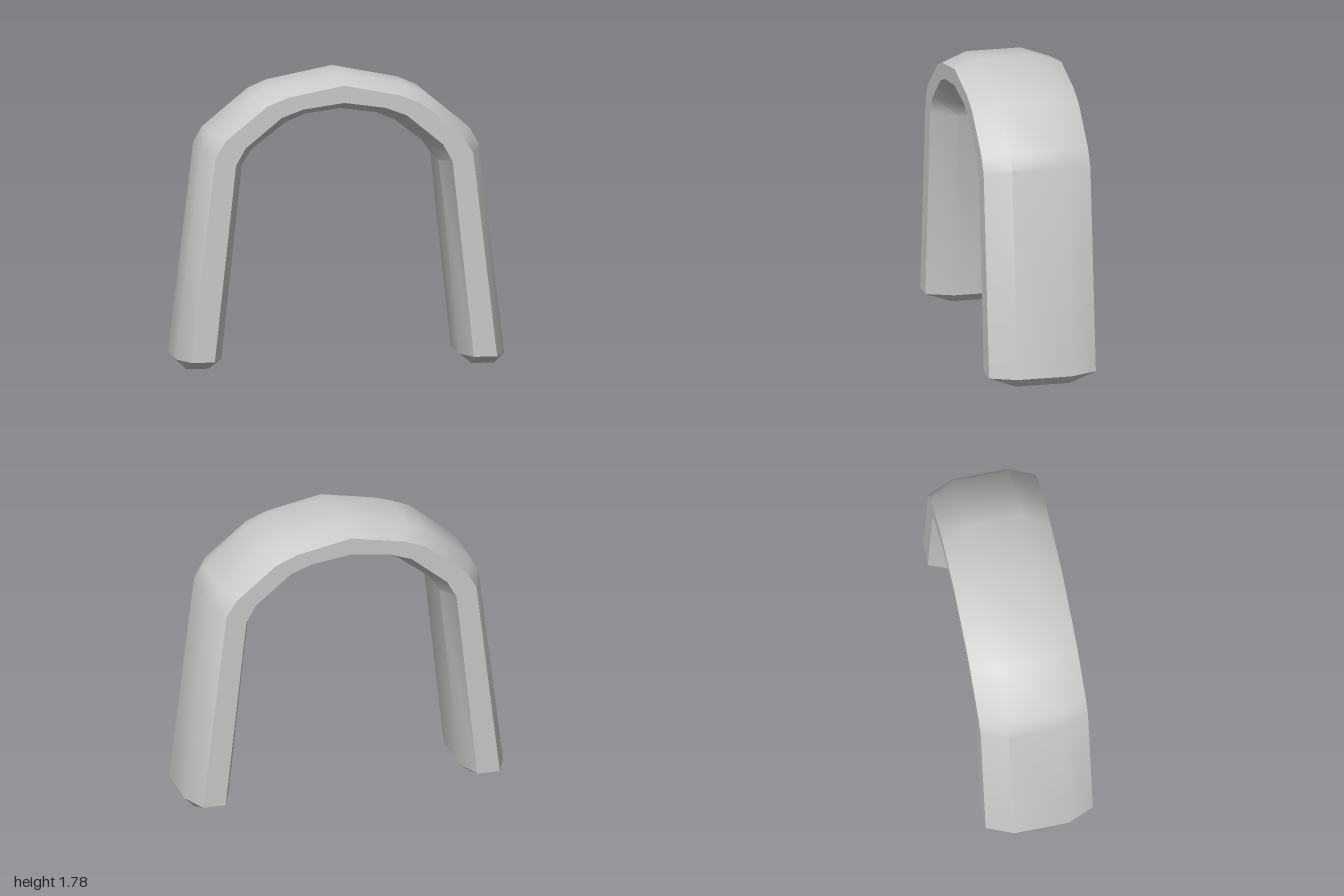
import * as THREE from 'three';
import { toCreasedNormals } from 'three/addons/utils/BufferGeometryUtils.js';

const HALF = 0.33;  // half depth at the narrow front and back faces
const MID = 0.168;  // half depth of the flat middle band

// Left half of the arch, foot to crown. Each row holds [x, y] of:
// outer middle, outer edge, inner edge, inner middle
const stations = [
  [[0.94, 0], [0.94, 0], [0.80, 0], [0.80, 0]],                     // tapered foot
  [[1.0, 0.06], [0.932, 0.06], [0.79, 0.06], [0.725, 0.06]],
  [[0.845, 1.333], [0.785, 1.305], [0.66, 1.255], [0.60, 1.24]],    // shoulder
  [[0.793, 1.428], [0.722, 1.405], [0.602, 1.358], [0.54, 1.332]],
  [[0.513, 1.658], [0.47, 1.61], [0.38, 1.54], [0.332, 1.492]],
  [[0.40, 1.706], [0.337, 1.663], [0.25, 1.588], [0.22, 1.54]],
  [[0, 1.785], [0, 1.728], [0, 1.623], [0, 1.57]],                  // crown
];

// Closed eight-sided cross-section: a bar with bevelled front and back
function ring([om, oe, ie, im], side, foot) {
  const e = foot ? MID : HALF;
  const p = ([x, y], z) => new THREE.Vector3(side * x, y, z);
  return [p(om, MID), p(om, -MID), p(oe, -e), p(ie, -e),
    p(im, -MID), p(im, MID), p(ie, e), p(oe, e)];
}

function archGeometry() {
  const rings = [
    ...stations.map((s, i) => ring(s, -1, i === 0)),
    ...stations.slice(0, -1).reverse().map((s, i, all) => ring(s, 1, i === all.length - 1)),
  ];
  const positions = [];
  const tri = (a, b, c) => {
    if (a.equals(b) || b.equals(c) || a.equals(c)) return;
    for (const v of [a, b, c]) positions.push(v.x, v.y, v.z);
  };

  // Skin between neighbouring cross-sections
  for (let i = 0; i < rings.length - 1; i++) {
    for (let j = 0; j < 8; j++) {
      const k = (j + 1) % 8;
      const a = rings[i][j], b = rings[i][k], c = rings[i + 1][k], d = rings[i + 1][j];
      tri(a, d, c);
      tri(a, c, b);
    }
  }

  // Flat soles under both feet
  const s = rings[0], e = rings[rings.length - 1];
  tri(s[0], s[1], s[4]);
  tri(s[0], s[4], s[5]);
  tri(e[0], e[4], e[1]);
  tri(e[0], e[5], e[4]);

  const geometry = new THREE.BufferGeometry();
  geometry.setAttribute('position', new THREE.Float32BufferAttribute(positions, 3));
  return toCreasedNormals(geometry, THREE.MathUtils.degToRad(32));
}

export function createModel() {
  const group = new THREE.Group();
  group.name = 'archModel';
  const arch = new THREE.Mesh(archGeometry(), new THREE.MeshStandardMaterial({ color: 0xcccccc }));
  arch.name = 'archBand';
  group.add(arch);
  return group;
}
